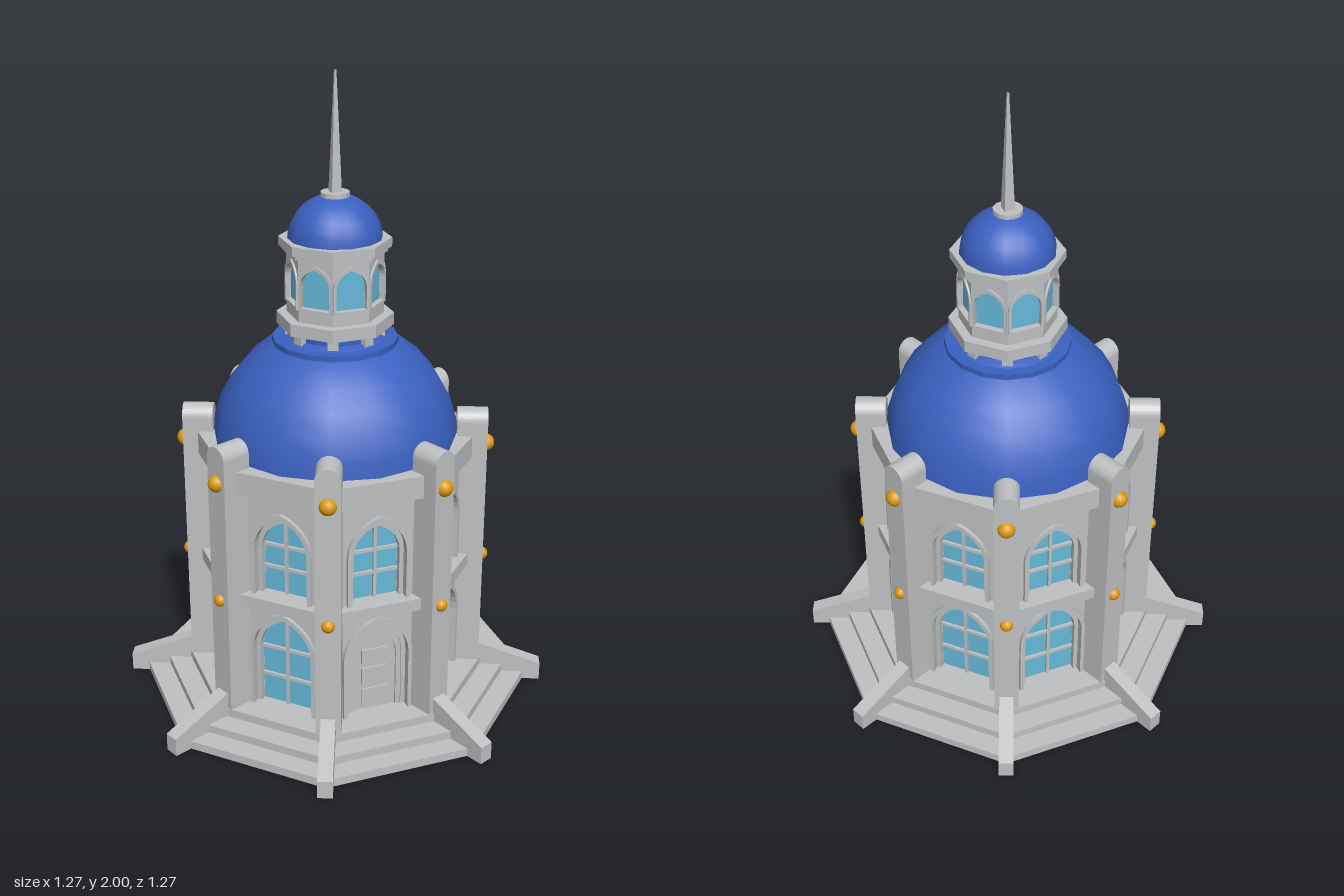
import * as THREE from 'three';

const mat = (name, color) => {
  const m = new THREE.MeshStandardMaterial({ color });
  m.name = name;
  return m;
};

export function createModel() {
  const stone = mat('stone grey', 0xbfc0c1);
  const blue = mat('dome blue', 0x3a60c0);
  const gold = mat('gold', 0xdc9a10);
  const glass = mat('window glass', 0x66b9d9);
  const model = new THREE.Group();
  model.name = 'domedPavilion';
  const T = Math.PI / 8;

  const add = (parent, name, geo, material, x = 0, y = 0, z = 0) => {
    const m = new THREE.Mesh(geo, material);
    m.name = name;
    m.position.set(x, y, z);
    parent.add(m);
    return m;
  };
  const spoke = (name, angle) => {
    const g = new THREE.Group();
    g.name = name;
    g.rotation.y = angle;
    model.add(g);
    return g;
  };
  const flat = (geo) => {
    const g = geo.toNonIndexed();
    g.computeVertexNormals();
    return g;
  };
  // Octagonal slab with flat sides towards the axes
  const octagon = (name, apothem, y0, y1, material = stone) => {
    const r = apothem / Math.cos(T);
    const geo = flat(new THREE.CylinderGeometry(r, r, y1 - y0, 8).rotateY(T));
    return add(model, name, geo, material, 0, (y0 + y1) / 2, 0);
  };
  const extrude = (shape, depth) =>
    new THREE.ExtrudeGeometry(shape, { depth, bevelEnabled: false, curveSegments: 8 });
  // Slightly pointed arch outline
  const arch = (w, y0, spring, top, Type = THREE.Shape) => {
    const s = new Type(), h = top - spring;
    s.moveTo(-w, y0);
    s.lineTo(w, y0);
    s.lineTo(w, spring);
    s.bezierCurveTo(w, spring + h * 0.55, w * 0.5, top - h * 0.12, 0, top);
    s.bezierCurveTo(-w * 0.5, top - h * 0.12, -w, spring + h * 0.55, -w, spring);
    s.lineTo(-w, y0);
    return s;
  };
  const archHole = (...a) => arch(...a, THREE.Path);
  const rect = (w, y0, y1) => new THREE.Shape([
    new THREE.Vector2(-w, y0), new THREE.Vector2(w, y0),
    new THREE.Vector2(w, y1), new THREE.Vector2(-w, y1)]);
  // Arched band, wide at o and open at i
  const archFrame = (o, i, depth) => {
    const s = arch(...o);
    s.holes.push(archHole(...i));
    return extrude(s, depth);
  };

  // Stepped base
  [[0.585, 0, 0.027], [0.52, 0.027, 0.053], [0.453, 0.053, 0.08]]
    .forEach(([a, y0, y1], i) => octagon('step' + (i + 1), a, y0, y1));

  // Openings: half width, bottom, spring, top
  const lowOuter = [0.112, 0.08, 0.285, 0.42], lowMid = [0.1, 0.08, 0.28, 0.405], lowIn = [0.086, 0.08, 0.275, 0.385];
  const upOuter = [0.1, 0.475, 0.635, 0.76], upMid = [0.088, 0.475, 0.63, 0.745], upIn = [0.074, 0.475, 0.625, 0.722];
  const wallShape = rect(0.155, 0.08, 0.82);
  wallShape.holes.push(archHole(...lowMid), archHole(...upMid));
  const wallGeo = extrude(wallShape, 0.03);
  const trimGeos = [archFrame(lowOuter, lowMid, 0.012), archFrame(upOuter, upMid, 0.012)];
  const innerGeos = [archFrame(lowMid, lowIn, 0.02), archFrame(upMid, upIn, 0.02)];
  const paneGeos = [extrude(arch(...lowIn), 0.005), extrude(arch(...upIn), 0.005)];

  const bars = (g, w, top, y0, rows) => {
    add(g, 'mullion', new THREE.BoxGeometry(0.01, top - y0, 0.01), stone, 0, (top + y0) / 2, 0.345);
    rows.forEach((y) => add(g, 'glazingBar', new THREE.BoxGeometry(w * 2, 0.01, 0.01), stone, 0, y, 0.345));
  };

  for (let k = 0; k < 8; k++) {
    // Wall side with its two openings
    const g = spoke('wallSide' + k, k * Math.PI / 4);
    add(g, 'wall', wallGeo, stone, 0, 0, 0.345);
    trimGeos.forEach((geo) => add(g, 'archTrim', geo, stone, 0, 0, 0.375));
    innerGeos.forEach((geo) => add(g, 'innerFrame', geo, stone, 0, 0, 0.342));
    add(g, 'upperWindow', paneGeos[1], glass, 0, 0, 0.336);
    bars(g, 0.074, 0.72, 0.475, [0.56, 0.635]);
    if (k === 0) {
      // Entrance door with raised panels
      add(g, 'door', paneGeos[0], stone, 0, 0, 0.346);
      add(g, 'doorFrame', archFrame(lowIn, [0.07, 0.08, 0.265, 0.36], 0.012), stone, 0, 0, 0.346);
      [[0.125, 0.06], [0.2, 0.06], [0.27, 0.05]].forEach(([y, h]) =>
        add(g, 'doorPanel', new THREE.BoxGeometry(0.085, h, 0.012), stone, 0, y, 0.352));
    } else {
      add(g, 'lowerWindow', paneGeos[0], glass, 0, 0, 0.336);
      bars(g, 0.086, 0.383, 0.08, [0.175, 0.275]);
    }
  }

  // Horizontal bands
  octagon('middleBand', 0.41, 0.435, 0.475);
  octagon('cornice', 0.41, 0.812, 0.885);

  // Round-topped corner pillars, stair rails and gold balls
  const pillarShape = new THREE.Shape();
  pillarShape.moveTo(-0.039, 0.05);
  pillarShape.lineTo(0.039, 0.05);
  pillarShape.lineTo(0.039, 0.928);
  pillarShape.absarc(0, 0.928, 0.039, 0, Math.PI, false);
  const pillarGeo = extrude(pillarShape, 0.095);
  const railGeo = extrude(new THREE.Shape([[0.42, 0], [0.68, 0], [0.68, 0.058], [0.42, 0.153]]
    .map((p) => new THREE.Vector2(...p))), 0.046).translate(0, 0, -0.023).rotateY(-Math.PI / 2);
  for (let k = 0; k < 8; k++) {
    const g = spoke('corner' + k, T + k * Math.PI / 4);
    add(g, 'pillar', pillarGeo, stone, 0, 0, 0.38);
    add(g, 'stairRail', railGeo, stone);
    add(g, 'upperBall', new THREE.SphereGeometry(0.027, 14, 10), gold, 0, 0.85, 0.472);
    add(g, 'lowerBall', new THREE.SphereGeometry(0.021, 14, 10), gold, 0, 0.457, 0.472);
  }

  // Main dome
  const dome = (name, r, ry, y, end, rows, sides) => {
    const pts = [];
    for (let i = 0; i <= rows; i++) {
      const a = end * i / rows;
      pts.push(new THREE.Vector2(Math.max(r * Math.cos(a), 0.0001), ry * Math.sin(a)));
    }
    add(model, name, new THREE.LatheGeometry(pts, sides), blue, 0, y, 0);
  };
  dome('mainDome', 0.384, 0.375, 0.86, Math.PI / 2, 8, 16);
  add(model, 'domeRing', flat(new THREE.CylinderGeometry(0.193, 0.193, 0.025, 16)), blue, 0, 1.187, 0);
  add(model, 'lanternDrum', flat(new THREE.CylinderGeometry(0.135, 0.135, 0.05, 16)), blue, 0, 1.22, 0);

  // Lantern with arched windows
  octagon('lanternFloor', 0.165, 1.237, 1.275);
  const lanternIn = [0.047, 1.32, 1.39, 1.443];
  const lanternWall = rect(0.0565, 1.27, 1.485);
  lanternWall.holes.push(archHole(...lanternIn));
  const lanternGeo = extrude(lanternWall, 0.014);
  const lanternTrim = archFrame([0.055, 1.312, 1.392, 1.455], lanternIn, 0.006);
  const lanternPane = extrude(arch(...lanternIn), 0.005);
  for (let k = 0; k < 8; k++) {
    const g = spoke('lanternSide' + k, k * Math.PI / 4);
    add(g, 'lanternWall', lanternGeo, stone, 0, 0, 0.1225);
    add(g, 'lanternTrim', lanternTrim, stone, 0, 0, 0.1365);
    add(g, 'lanternWindow', lanternPane, glass, 0, 0, 0.119);
    const post = spoke('lanternPost' + k, T + k * Math.PI / 4);
    add(post, 'post', new THREE.BoxGeometry(0.032, 0.042, 0.03), stone, 0, 1.218, 0.137);
  }
  octagon('lanternNeck', 0.146, 1.468, 1.482);
  octagon('lanternCornice', 0.157, 1.482, 1.51);

  // Small dome and spire
  dome('smallDome', 0.144, 0.137, 1.503, Math.PI / 2, 8, 14);
  add(model, 'spireCollar', flat(new THREE.CylinderGeometry(0.044, 0.044, 0.014, 12)), stone, 0, 1.64, 0);
  add(model, 'spire', flat(new THREE.CylinderGeometry(0.004, 0.022, 0.355, 4).rotateY(Math.PI / 4)), stone, 0, 1.8225, 0);

  return model;
}
